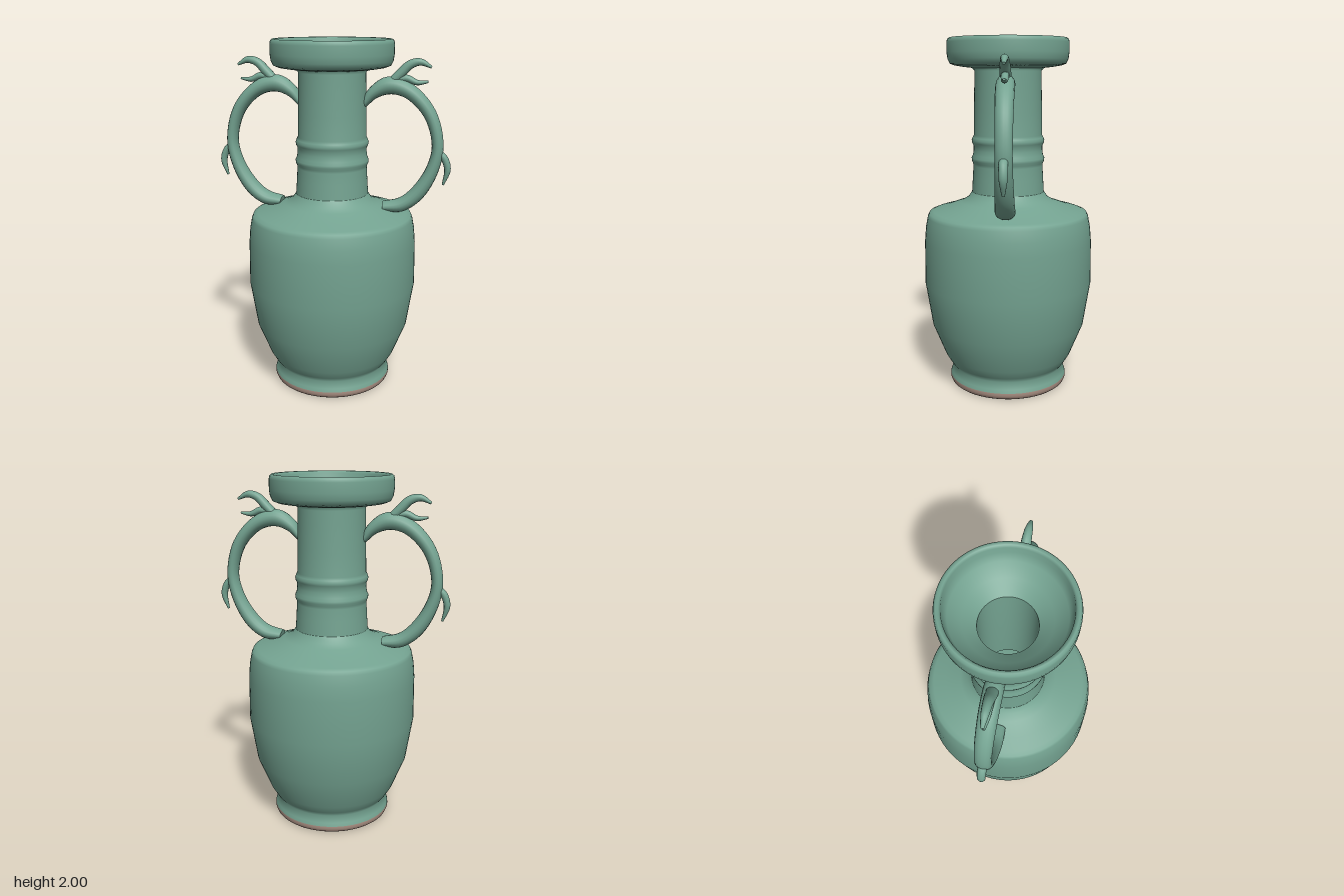
import * as THREE from 'three';

const glaze = new THREE.MeshStandardMaterial({ color: 0x74a391 });
glaze.name = 'celadon glaze';
const clay = new THREE.MeshStandardMaterial({ color: 0xa98f82 });
clay.name = 'bare clay';

function lathe(name, profile, material) {
  const points = profile.map(([r, y]) => new THREE.Vector2(r, y));
  const mesh = new THREE.Mesh(new THREE.LatheGeometry(points, 72), material);
  mesh.name = name;
  return mesh;
}

// Tapered sweep in the xy plane; stations are [x, y, in-plane radius, z radius]
function sweep(name, stations, steps, sides = 16) {
  const path = new THREE.CatmullRomCurve3(stations.map(([x, y]) => new THREE.Vector3(x, y, 0)));
  const sizes = new THREE.CatmullRomCurve3(stations.map((s) => new THREE.Vector3(s[2], s[3], 0)));
  const positions = [];
  const indices = [];
  for (let i = 0; i <= steps; i++) {
    const p = path.getPoint(i / steps);
    const t = path.getTangent(i / steps);
    const size = sizes.getPoint(i / steps);
    for (let j = 0; j < sides; j++) {
      const a = (j / sides) * Math.PI * 2;
      const u = Math.cos(a) * size.x;
      positions.push(p.x - t.y * u, p.y + t.x * u, Math.sin(a) * size.y);
      if (i < steps) {
        const k = (j + 1) % sides;
        const [q, r, s, v] = [i * sides + j, i * sides + k, (i + 1) * sides + j, (i + 1) * sides + k];
        indices.push(q, r, s, r, v, s);
      }
    }
  }
  // End caps with their own vertices so the rims stay sharp
  for (const end of [0, steps]) {
    const first = positions.length / 3;
    for (let j = 0; j < sides; j++) {
      const o = (end * sides + j) * 3;
      positions.push(positions[o], positions[o + 1], positions[o + 2]);
    }
    for (let j = 1; j < sides - 1; j++) {
      if (end) indices.push(first, first + j, first + j + 1);
      else indices.push(first, first + j + 1, first + j);
    }
  }
  const geometry = new THREE.BufferGeometry();
  geometry.setAttribute('position', new THREE.Float32BufferAttribute(positions, 3));
  geometry.setIndex(indices);
  geometry.computeVertexNormals();
  const mesh = new THREE.Mesh(geometry, glaze);
  mesh.name = name;
  return mesh;
}

function makeHandle(name) {
  const handle = new THREE.Group();
  handle.name = name;
  handle.add(
    sweep('handleLoop', [
      [0.18, 1.65, 0.02, 0.035], [0.235, 1.715, 0.035, 0.045], [0.32, 1.755, 0.048, 0.05],
      [0.43, 1.725, 0.042, 0.05], [0.545, 1.605, 0.036, 0.047], [0.593, 1.43, 0.032, 0.045],
      [0.565, 1.29, 0.036, 0.047], [0.485, 1.155, 0.042, 0.052], [0.4, 1.09, 0.04, 0.055],
      [0.3, 1.075, 0.028, 0.05],
    ], 56),
    sweep('upperHorn', [
      [0.32, 1.76, 0.025, 0.032], [0.38, 1.82, 0.026, 0.03], [0.43, 1.868, 0.024, 0.025],
      [0.485, 1.882, 0.019, 0.02], [0.545, 1.855, 0.007, 0.009],
    ], 20, 12),
    sweep('lowerHorn', [
      [0.34, 1.78, 0.02, 0.025], [0.41, 1.795, 0.02, 0.022], [0.47, 1.773, 0.015, 0.018],
      [0.53, 1.778, 0.006, 0.008],
    ], 16, 12),
    sweep('backSpur', [
      [0.6, 1.4, 0.015, 0.022], [0.635, 1.36, 0.02, 0.024], [0.652, 1.3, 0.018, 0.022],
      [0.63, 1.215, 0.006, 0.008],
    ], 16, 12),
  );
  return handle;
}

export function createModel() {
  const model = new THREE.Group();
  model.name = 'vase';

  // Unglazed foot ring and recessed underside
  model.add(lathe('footRing', [
    [0.278, 0.035], [0.285, 0.012], [0.3, 0], [0.328, 0], [0.338, 0.008], [0.345, 0.025], [0.344, 0.04],
  ], clay));
  model.add(lathe('underside', [[0, 0.09], [0.15, 0.088], [0.25, 0.075], [0.278, 0.035]], glaze));

  // Belly and shoulder
  model.add(lathe('body', [
    [0.344, 0.04], [0.338, 0.06], [0.323, 0.1], [0.345, 0.13], [0.375, 0.18], [0.447, 0.36],
    [0.486, 0.61], [0.483, 0.86], [0.476, 0.94], [0.464, 1.0], [0.455, 1.02], [0.43, 1.03],
    [0.36, 1.05], [0.27, 1.083], [0.23, 1.105], [0.207, 1.14],
  ], glaze));

  // Neck with its two raised bands
  model.add(lathe('neck', [
    [0.207, 1.14], [0.202, 1.22], [0.198, 1.29], [0.2, 1.305], [0.207, 1.32], [0.208, 1.335],
    [0.2, 1.352], [0.196, 1.38], [0.196, 1.405], [0.204, 1.42], [0.207, 1.435], [0.202, 1.45],
    [0.194, 1.465], [0.192, 1.6], [0.188, 1.82], [0.195, 1.836],
  ], glaze));

  // Cup-shaped mouth, hollow inside
  model.add(lathe('mouth', [
    [0.195, 1.836], [0.25, 1.842], [0.3, 1.85], [0.325, 1.86], [0.337, 1.885], [0.342, 1.92],
    [0.342, 1.975], [0.338, 1.992], [0.328, 2], [0.315, 1.998], [0.307, 1.985], [0.304, 1.95],
    [0.285, 1.9], [0.22, 1.85], [0.15, 1.79],
  ], glaze));
  model.add(lathe('interior', [
    [0.15, 1.79], [0.15, 1.12], [0.2, 1.06], [0.41, 0.99], [0.44, 0.86], [0.44, 0.61],
    [0.4, 0.37], [0.31, 0.18], [0.15, 0.12], [0, 0.11],
  ], glaze));

  // Matching handles on both sides
  const rightHandle = makeHandle('rightHandle');
  rightHandle.rotation.y = Math.PI;
  model.add(makeHandle('leftHandle'), rightHandle);
  return model;
}
